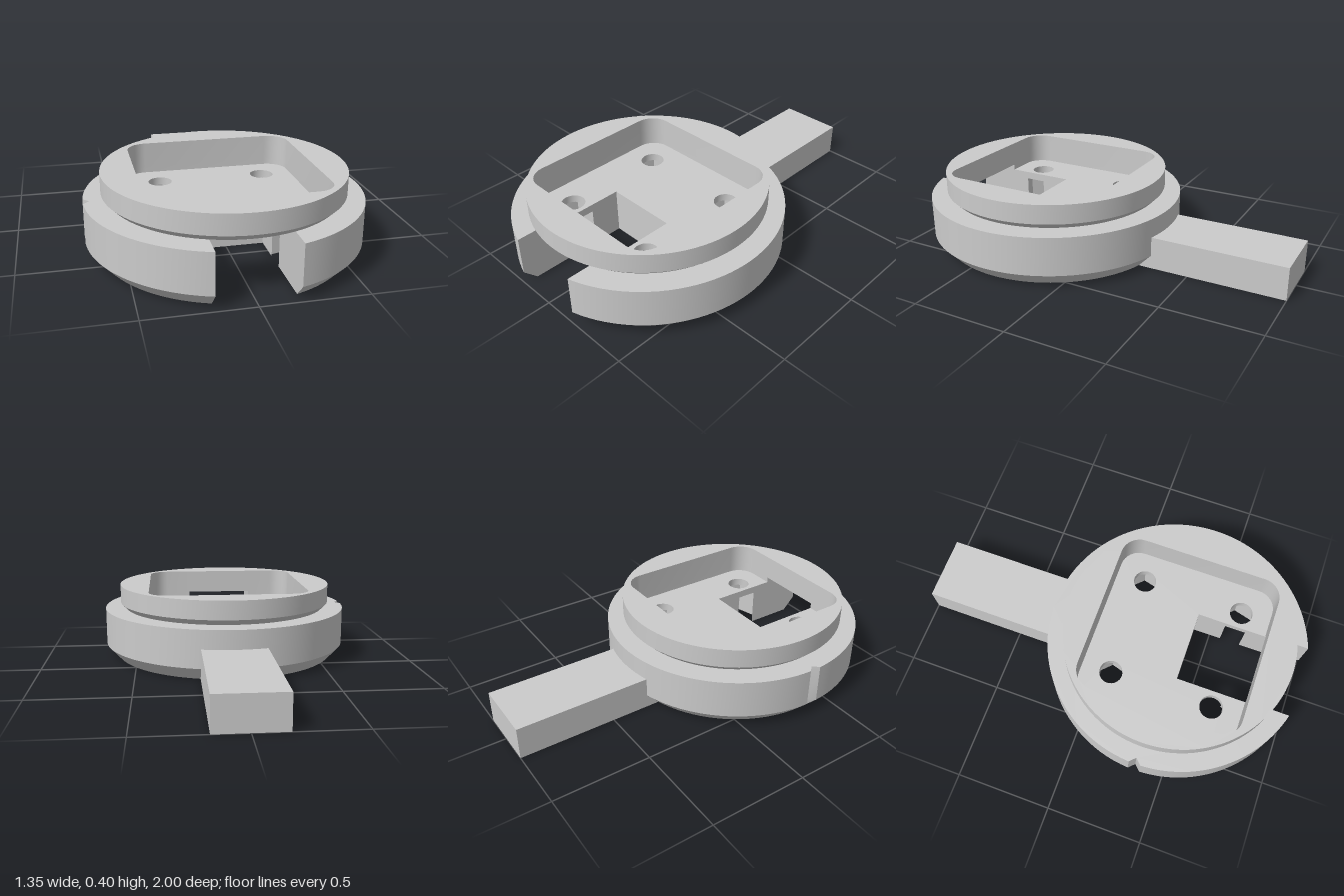
import * as THREE from 'three';
import { mergeGeometries, toCreasedNormals } from 'three/addons/utils/BufferGeometryUtils.js';

const S = 0.187;    // half width of the front slot
const BACK = 0.06;  // rear wall of the slot (relative to the disc centre)
const P = 0.425;    // half width of the square pocket
const H = 0.27;     // screw hole offset
const HEX = 0.11;   // nut recess radius

// Regular polygon loop of [x, z] points, wound as a hole
function ngon(n, r, cx, cz, start = 0) {
  return Array.from({ length: n }, (_, i) => {
    const a = start + (i / n) * Math.PI * 2;
    return [cx + r * Math.cos(a), cz + r * Math.sin(a)];
  });
}

// Circular rim from one slot edge round the back to the other, with a V notch
function arc(r) {
  const t0 = Math.asin(S / r), mid = Math.PI * 1.5, w = 0.045, pts = [];
  const span = (a, b, n) => {
    for (let i = 0; i <= n; i++) {
      const t = a + ((b - a) * i) / n;
      pts.push([r * Math.sin(t), r * Math.cos(t)]);
    }
  };
  const notched = r > 0.6 ? w : 0.02;
  span(t0, mid - notched, 72);
  pts.push([-Math.min(r, 0.645), 0]);
  span(mid + notched, Math.PI * 2 - t0, 24);
  return pts;
}

// Wall between two matching loops; faces outward for loops running front to +x
function wall(a, b, y0, y1, closed = true) {
  const pos = [];
  for (let i = 0; i < a.length - (closed ? 0 : 1); i++) {
    const j = (i + 1) % a.length;
    const p = [a[i][0], y0, a[i][1]], q = [a[j][0], y0, a[j][1]];
    const r = [b[j][0], y1, b[j][1]], s = [b[i][0], y1, b[i][1]];
    pos.push(...p, ...q, ...r, ...p, ...r, ...s);
  }
  const g = new THREE.BufferGeometry();
  g.setAttribute('position', new THREE.Float32BufferAttribute(pos, 3));
  g.computeVertexNormals();
  return g;
}

// Flat face with holes, looking up (dir 1) or down (dir -1)
function cap(loop, holes, y, dir) {
  const v = (l) => l.map(([x, z]) => new THREE.Vector2(x, -dir * z));
  const shape = new THREE.Shape(v(loop));
  shape.holes = holes.map((h) => new THREE.Path(v(h)));
  const g = new THREE.ShapeGeometry(shape).toNonIndexed();
  g.deleteAttribute('uv');
  return g.rotateX((-dir * Math.PI) / 2).translate(0, y, 0);
}

// Front nut recess, cut open where it meets the slot
function openHex(s) {
  const hex = ngon(6, HEX, 0, 0, (225 * Math.PI) / 180);
  const tip = hex[5], cut = S - H;
  const meet = (p) => {
    const k = (cut - tip[0]) / (p[0] - tip[0]);
    return [cut, tip[1] + k * (p[1] - tip[1])];
  };
  return [meet(hex[0]), ...hex.slice(0, 5), meet(hex[4])].map(([x, z]) => [s * (x + H), H + s * z]);
}

function roundedSquare() {
  const r = 0.1, c = P - r, pts = [[S, P]];
  [[1, 1], [1, -1], [-1, -1], [-1, 1]].forEach(([sx, sz], k) => {
    for (let i = 0; i <= 8; i++) {
      const t = ((k + i / 8) * Math.PI) / 2;
      pts.push([sx * c + r * Math.sin(t), sz * c + r * Math.cos(t)]);
    }
  });
  pts.push([-S, P]);
  return pts;
}

export function createModel() {
  const model = new THREE.Group();
  const material = new THREE.MeshStandardMaterial({ color: 0xcccccc, side: THREE.DoubleSide });
  const add = (name, parts) => {
    const mesh = new THREE.Mesh(toCreasedNormals(mergeGeometries(parts), 0.4), material);
    mesh.name = name;
    mesh.position.z = 0.35;
    model.add(mesh);
  };

  // Base disc: chamfered underside, slot, nut recesses and marker
  const low = arc(0.61), rim = arc(0.675), neck = arc(0.56);
  const front = rim[0][1];
  const inner = [...openHex(-1), [-S, BACK], [S, BACK], ...openHex(1)];
  const slot = [[-S, front], ...inner, [S, front]];
  const plainSlot = [[-S, front], [-S, BACK], [S, BACK], [S, front]];
  const backHex = [-1, 1].map((s) => ngon(6, HEX, s * H, -H, Math.PI / 4));
  const marker = ngon(3, 0.075, -0.5, 0, Math.PI);
  const base = [
    cap([...low, ...inner], [...backHex, marker], 0, -1),
    wall([...low, ...inner], [...rim, ...inner], 0, 0.07),
    wall(rim, rim, 0.07, 0.27, false),
    wall(slot, slot, 0.07, 0.2, false),
    wall(plainSlot, plainSlot, 0.2, 0.24, false),
    cap([...rim, ...neck.slice().reverse()], [], 0.27, 1),
    wall(marker, marker, 0, 0.04),
    cap(marker, [], 0.04, -1),
  ];
  for (const edge of [[[-S, front], [-S, P]], [[S, P], [S, front]]]) {
    base.push(wall(edge, edge, 0.24, 0.27, false));
  }
  backHex.forEach((h) => base.push(wall(h, h, 0, 0.2)));

  // Screw holes and the ceilings of the nut recesses
  const holes = [];
  for (const sx of [-1, 1]) {
    for (const sz of [-1, 1]) {
      const hole = ngon(32, 0.06, sx * H, sz * H);
      const recess = sz > 0 ? openHex(sx) : backHex[sx > 0 ? 1 : 0];
      holes.push(hole);
      base.push(wall(hole, hole, 0.2, 0.24), cap(recess, [hole], 0.2, -1));
    }
  }
  add('baseDisc', base);

  // Raised ring with an undercut lower edge
  const circle = (r) => ngon(96, r, 0, 0).reverse();
  const pocket = roundedSquare();
  const roof = [[S, P], [-S, P]];
  const half = Math.asin(S / 0.56);
  for (let i = 0; i <= 12; i++) {
    const t = half * (i / 6 - 1);
    roof.push([0.56 * Math.sin(t), 0.56 * Math.cos(t)]);
  }
  add('upperRing', [
    wall(circle(0.56), circle(0.59), 0.27, 0.3),
    wall(circle(0.59), circle(0.59), 0.3, 0.4),
    cap(circle(0.59), [pocket], 0.4, 1),
    cap(roof, [], 0.27, -1),
  ]);

  // Square pocket whose floor opens into the slot
  const inward = pocket.slice().reverse();
  add('pocket', [
    wall(inward, inward, 0.24, 0.27, false),
    wall(inward, inward, 0.27, 0.4),
    cap([...pocket, [-S, BACK], [S, BACK]], holes, 0.24, 1),
  ]);

  // Straight handle at the back
  const arm = new THREE.Mesh(new THREE.BoxGeometry(0.335, 0.17, 0.76), material);
  arm.name = 'handle';
  arm.position.set(0, 0.085, -0.62);
  model.add(arm);

  return model;
}
